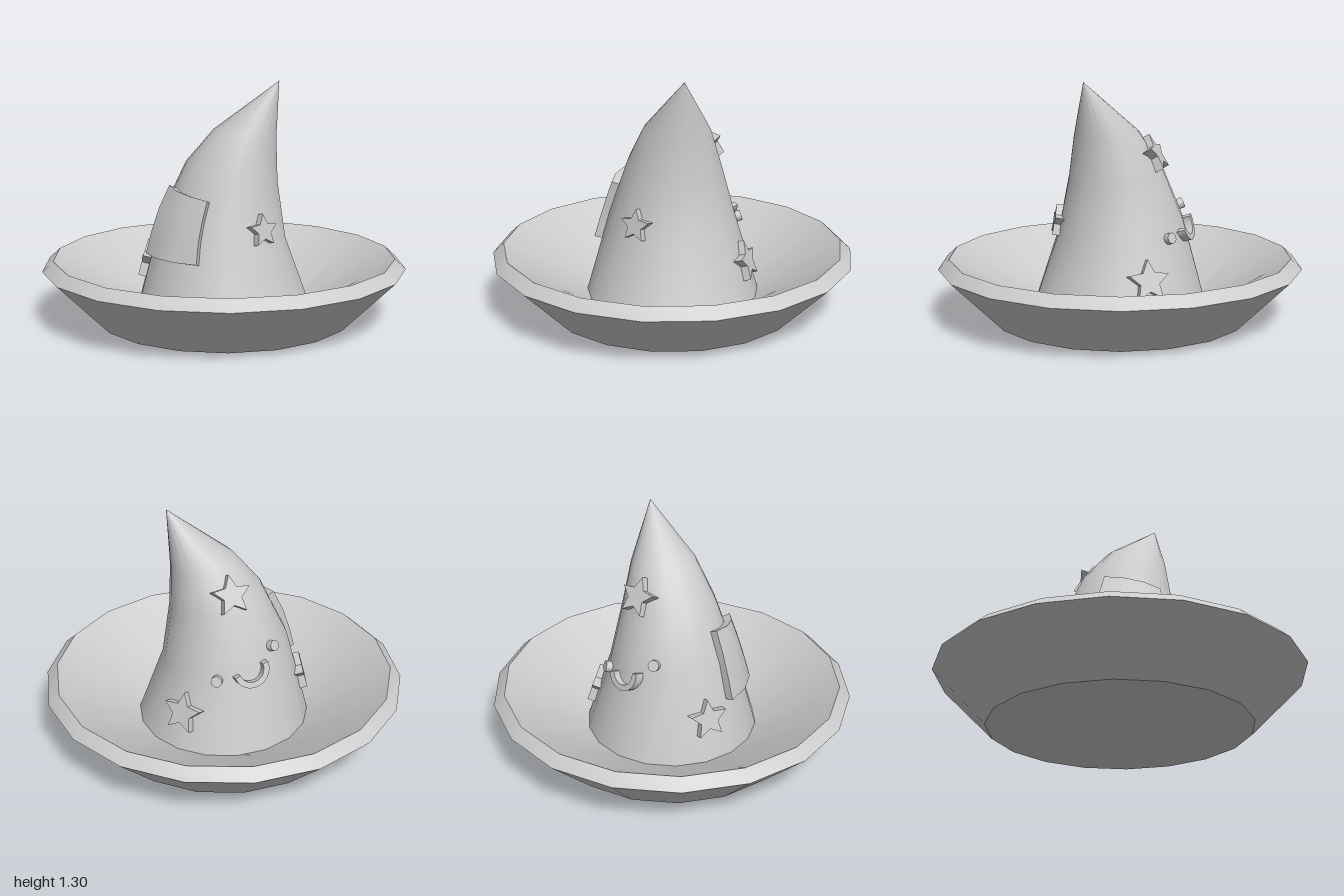
import * as THREE from 'three';
import { toCreasedNormals } from 'three/addons/utils/BufferGeometryUtils.js';

const SIDES = 18;
const rad = THREE.MathUtils.degToRad;
const material = new THREE.MeshStandardMaterial({ color: 0xcccccc });

// Leaning crown rings: centre x, centre y, radius x, radius z, tilt rise
const RINGS = [
  [0, 0.07, 0.48, 0.48, 0],
  [-0.005, 0.51, 0.345, 0.348, 0.06],
  [0.042, 0.81, 0.253, 0.257, 0.05],
  [0.115, 1.02, 0.172, 0.18, 0.02],
  [0.3, 1.305, 0, 0, 0],
];

// Point on the crown at an angle and ring position t (0 to 4)
function crownPoint(angle, t) {
  const i = Math.min(Math.floor(t), RINGS.length - 2);
  const [cx, cy, rx, rz, k] = RINGS[i].map((v, n) => THREE.MathUtils.lerp(v, RINGS[i + 1][n], t - i));
  const c = Math.cos(angle);
  return new THREE.Vector3(cx + rx * c, cy - k * c, rz * Math.sin(angle));
}

// Point and outward normal on the crown at an angle and height
function crownAt(angle, y) {
  let lo = 0, hi = 3.9;
  for (let i = 0; i < 30; i++) {
    const mid = (lo + hi) / 2;
    if (crownPoint(angle, mid).y < y) lo = mid; else hi = mid;
  }
  const e = 0.05;
  const up = crownPoint(angle, lo + e).sub(crownPoint(angle, Math.max(0, lo - e)));
  const around = crownPoint(angle + e, lo).sub(crownPoint(angle - e, lo));
  return { point: crownPoint(angle, lo), normal: up.cross(around).normalize() };
}

function crownGeometry() {
  const positions = [], index = [];
  for (let j = 0; j < RINGS.length; j++) {
    for (let i = 0; i < SIDES; i++) positions.push(...crownPoint((i / SIDES) * Math.PI * 2, j).toArray());
  }
  for (let j = 0; j < RINGS.length - 1; j++) {
    for (let i = 0; i < SIDES; i++) {
      const a = j * SIDES + i, b = j * SIDES + ((i + 1) % SIDES);
      index.push(a, a + SIDES, b);
      if (j < RINGS.length - 2) index.push(b, a + SIDES, b + SIDES);
    }
  }
  const geometry = new THREE.BufferGeometry();
  geometry.setAttribute('position', new THREE.Float32BufferAttribute(positions, 3));
  geometry.setIndex(index);
  geometry.computeVertexNormals();
  return geometry;
}

// Box bent around the crown
function patchGeometry() {
  const geometry = new THREE.BoxGeometry(1, 1, 1, 3, 3, 1);
  const pos = geometry.attributes.position;
  for (let i = 0; i < pos.count; i++) {
    const u = pos.getX(i) + 0.5, v = pos.getY(i) + 0.5;
    const y = THREE.MathUtils.lerp(0.365, 0.73 - 0.045 * u, v);
    const { point, normal } = crownAt(rad(155 - 54 * u), y);
    point.addScaledVector(normal, pos.getZ(i) > 0 ? 0.042 : -0.015);
    pos.setXYZ(i, point.x, point.y, point.z);
  }
  return toCreasedNormals(geometry, 0.6);
}

function extrude(shape) {
  const geometry = new THREE.ExtrudeGeometry(shape, { depth: 0.055, bevelEnabled: false, curveSegments: 10 });
  return geometry.translate(0, 0, -0.022);
}

function starGeometry(radius) {
  const points = [];
  for (let i = 0; i < 10; i++) {
    const r = i % 2 ? radius * 0.48 : radius;
    const a = Math.PI / 2 + (i * Math.PI) / 5;
    points.push(new THREE.Vector2(r * Math.cos(a), r * Math.sin(a)));
  }
  return extrude(new THREE.Shape(points));
}

function smileGeometry() {
  const shape = new THREE.Shape();
  shape.absarc(0, 0, 0.1, Math.PI, Math.PI * 2, false);
  shape.absarc(0, 0, 0.068, Math.PI * 2, Math.PI, true);
  return extrude(shape);
}

export function createModel() {
  const hat = new THREE.Group();
  hat.name = 'hat';

  const add = (name, geometry) => {
    const mesh = new THREE.Mesh(geometry, material);
    mesh.name = name;
    hat.add(mesh);
    return mesh;
  };

  // Seats a flat ornament on the crown, facing outward
  const attach = (name, geometry, degrees, y, roll = 0) => {
    const mesh = add(name, geometry);
    const { point, normal } = crownAt(rad(degrees), y);
    const right = new THREE.Vector3(0, 1, 0).cross(normal).normalize();
    const up = normal.clone().cross(right);
    mesh.quaternion.setFromRotationMatrix(new THREE.Matrix4().makeBasis(right, up, normal));
    mesh.rotateZ(rad(roll));
    mesh.position.copy(point);
  };

  // Upturned brim with a closed flat base
  const profile = [[0, 0], [0.71, 0], [1, 0.29], [0.94, 0.345], [0.475, 0.068]];
  const brim = new THREE.LatheGeometry(profile.map(([x, y]) => new THREE.Vector2(x, y)), SIDES);
  add('brim', toCreasedNormals(brim.rotateY(Math.PI / 2), 0.6));

  add('crown', crownGeometry());
  add('patch', patchGeometry());

  // Stars around the crown
  attach('frontStar', starGeometry(0.09), 46, 0.53);
  attach('upperBackStar', starGeometry(0.11), -119, 0.905);
  attach('lowerBackStar', starGeometry(0.115), -60, 0.275);
  attach('sideStar', starGeometry(0.11), 176, 0.31);

  // Smiling face on the back
  const eye = new THREE.CylinderGeometry(0.03, 0.03, 0.06, 16).rotateX(Math.PI / 2);
  attach('leftEye', eye, -85, 0.475);
  attach('rightEye', eye, -142, 0.605);
  attach('smile', smileGeometry(), -114, 0.53, 17);

  return hat;
}
